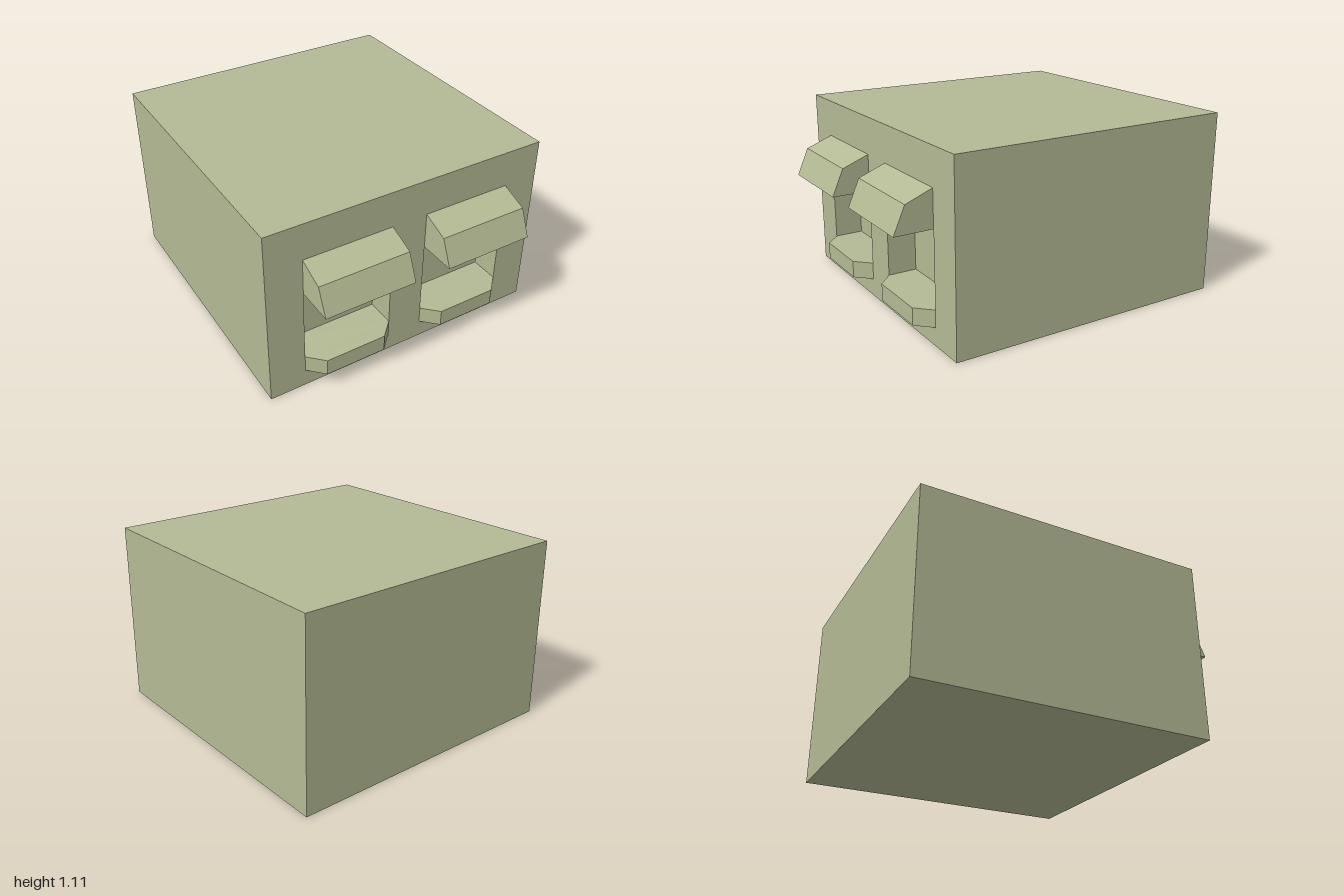
import * as THREE from 'three';

const material = new THREE.MeshStandardMaterial({ color: 0xb4ba94, flatShading: true });

// Main dimensions
const W = 1.77, H = 1.11, BACK = -1, FRONT = 0.77;
const RECESS = 0.175;                    // depth of the window openings
const WIN_W = 0.555, WIN_X = 0.388;      // window width and centre offset
const SILL_Y = 0.212, LINTEL_Y = 0.665;  // bottom and top of the openings

const polygon = (points) => new THREE.Shape(points.map(([x, y]) => new THREE.Vector2(x, y)));
const extrude = (shape, depth) => new THREE.ExtrudeGeometry(shape, { depth, bevelEnabled: false });

function addPart(parent, name, geometry) {
  const mesh = new THREE.Mesh(geometry, material);
  mesh.name = name;
  parent.add(mesh);
  return mesh;
}

function createWindow(name) {
  const group = new THREE.Group();
  group.name = name;
  const h = WIN_W / 2;

  // Sloping hood: side profile drawn as (z, y), swept across the window
  const hood = extrude(polygon([[0, LINTEL_Y], [0.23, LINTEL_Y], [0.16, 0.825], [0, 0.887]]), WIN_W);
  hood.rotateY(-Math.PI / 2).translate(h, 0, FRONT);
  addPart(group, 'windowHood', hood);

  // Sill with chamfered front corners: plan drawn as (x, z), swept downwards
  const c = 0.09;
  const sill = extrude(polygon([[-h, 0], [h, 0], [h - c, c], [c - h, c]]), 0.103);
  sill.rotateX(Math.PI / 2).translate(0, SILL_Y, FRONT);
  addPart(group, 'windowSill', sill);
  return group;
}

export function createModel() {
  const model = new THREE.Group();
  model.name = 'building';

  // Solid block behind the openings
  const depth = FRONT - RECESS - BACK;
  addPart(model, 'mainBlock', new THREE.BoxGeometry(W, H, depth))
    .position.set(0, H / 2, BACK + depth / 2);

  // Front wall with two rectangular openings
  const wall = polygon([[-W / 2, 0], [W / 2, 0], [W / 2, H], [-W / 2, H]]);
  for (const side of [-1, 1]) {
    const a = side * WIN_X - WIN_W / 2, b = a + WIN_W;
    wall.holes.push(polygon([[a, SILL_Y], [a, LINTEL_Y], [b, LINTEL_Y], [b, SILL_Y]]));

    const win = createWindow(side > 0 ? 'leftWindow' : 'rightWindow');
    win.position.x = side * WIN_X;
    model.add(win);
  }
  addPart(model, 'frontWall', extrude(wall, RECESS)).position.z = FRONT - RECESS;

  return model;
}
